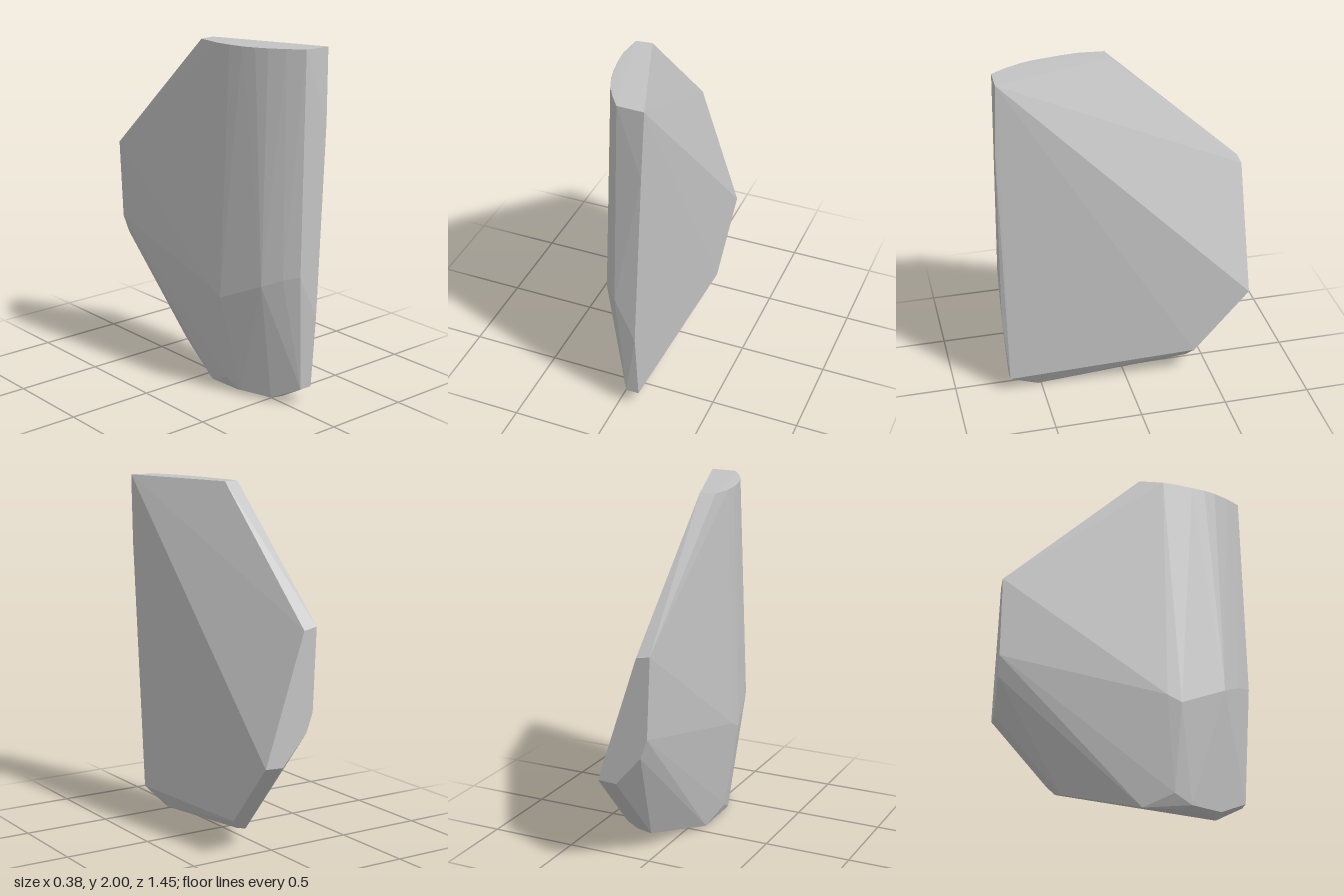
import * as THREE from 'three';
import { ConvexGeometry } from 'three/addons/geometries/ConvexGeometry.js';

// Faceted stone slab: the hull of a few rings of corners.
export function createModel() {
  const group = new THREE.Group();
  group.name = 'stoneSlab';
  const stone = new THREE.MeshStandardMaterial({ color: 0xc3c3c3 });
  stone.name = 'stone grey';

  // Flat top with a rounded outer edge
  const top = [
    [0.18, 2, 0.71], [0.03, 2, 0.705], [-0.03, 1.998, 0.62], [-0.08, 1.995, 0.53],
    [-0.107, 1.993, 0.46], [-0.127, 1.99, 0.38], [-0.143, 1.99, 0.295],
    [-0.153, 1.99, 0.2], [-0.14, 1.99, 0.06], [-0.05, 1.99, 0.05],
  ];
  // Upright back facet
  const back = [
    [-0.05, 1.255, -0.72], [-0.13, 1.27, -0.72], [-0.11, 0.81, -0.72],
    [-0.07, 0.7, -0.72], [0.08, 0.53, -0.72], [0.19, 0.535, -0.72],
  ];
  // Widest ring, bulging at the front
  const belly = [
    [0.165, 1.6, 0.724], [0.117, 0.52, 0.725], [0, 0.77, 0.72], [-0.06, 0.75, 0.645],
    [-0.125, 0.7, 0.545], [-0.193, 0.58, 0.28], [-0.193, 0.62, 0.2],
  ];
  // Chamfers above the foot
  const lower = [
    [0.12, 0.1, 0.69], [0.045, 0.1, 0.69], [-0.03, 0.02, 0.53], [-0.1, 0.025, 0.35],
    [-0.122, 0.08, 0.25], [0.065, 0.092, -0.34], [0.14, 0.115, -0.36], [0.185, 0.17, -0.4],
  ];
  // Small flat foot
  const foot = [[0.06, 0, 0.52], [0.005, 0, 0.5], [-0.075, 0.005, 0.3], [-0.08, 0, 0.08]];

  const corners = [top, back, belly, lower, foot].flat().map((p) => new THREE.Vector3(...p));
  const slab = new THREE.Mesh(new ConvexGeometry(corners), stone);
  slab.name = 'slab';
  group.add(slab);
  return group;
}
